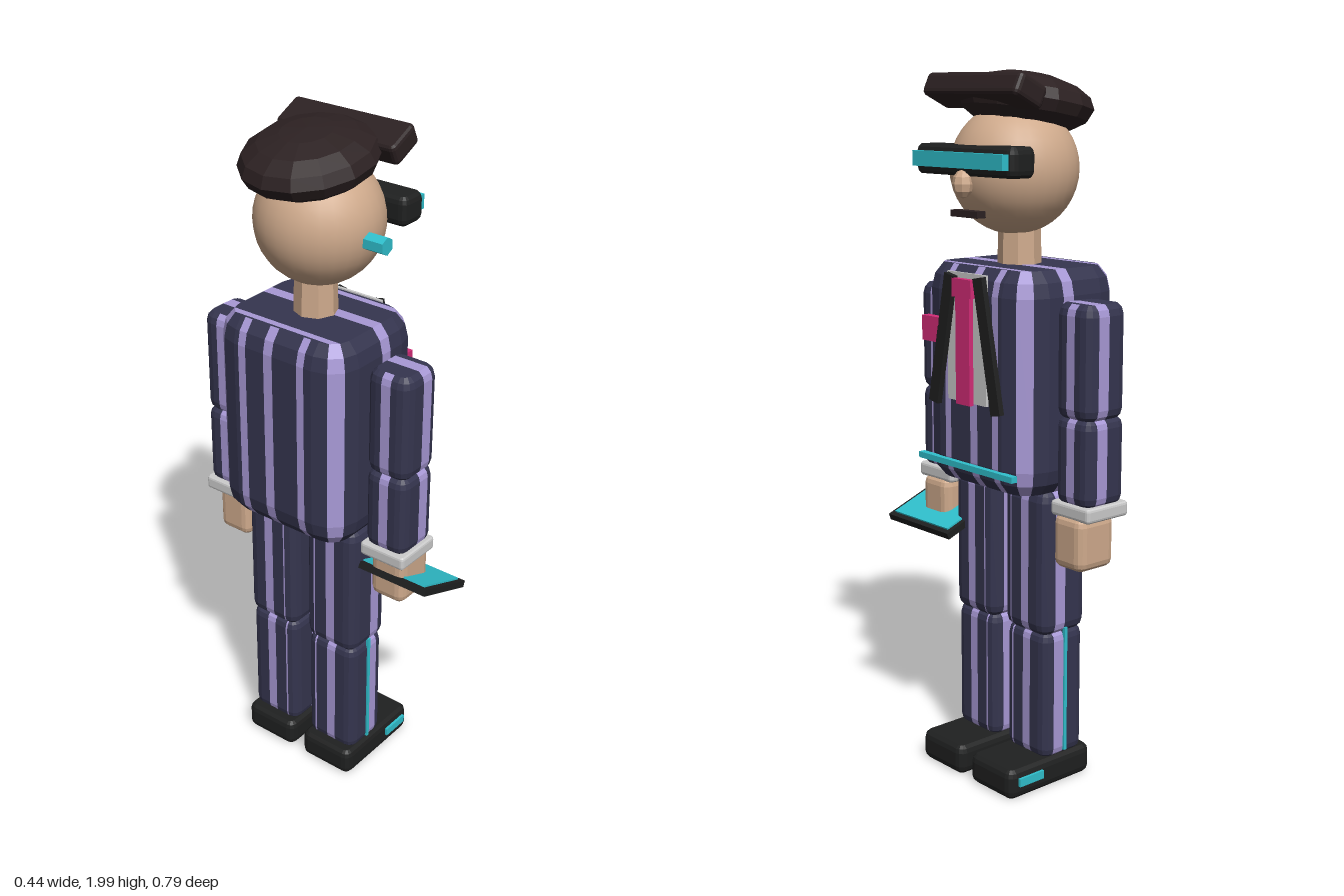
import * as THREE from 'three';

const mat = (name, color) => {
  const m = new THREE.MeshStandardMaterial({ color });
  m.name = name;
  return m;
};
const navy = mat('navy suit', 0x35354f), lilac = mat('lilac stripe', 0xa899d6);
const skin = mat('skin', 0xcfaa8c), black = mat('black', 0x1f2020);
const felt = mat('dark brown felt', 0x2c2122), teal = mat('teal', 0x30c0cd);
const pink = mat('pink', 0xd42c78), white = mat('pale grey', 0xcccccc);

const MID = -0.035; // body centre line in z
const PHI = Math.PI / 3;

// Rounded box lofted from rings; xs / zs list the stripe ranges on its sides and ends
function softBox([x0, x1], [y0, y1], [z0, z1], c, { cy = c * 0.87, phi = PHI, xs = [], zs = [] } = {}) {
  const cx = [x0 + c, x1 - c], cz = [z0 + c, z1 - c];
  const stops = (ranges, [lo, hi]) => ranges.flat().filter(v => v > lo && v < hi).sort((a, b) => a - b);
  const sx = stops(xs, cx), sz = stops(zs, cz);
  // each perimeter point: core position plus outward direction
  const per = [];
  const corner = (x, z, a0) => {
    for (let k = 0; k < 4; k++) {
      const a = a0 + k * Math.PI / 6;
      per.push([x, z, Math.cos(a), Math.sin(a)]);
    }
  };
  corner(cx[1], cz[1], 0);
  [...sx].reverse().forEach(x => per.push([x, cz[1], 0, 1]));
  corner(cx[0], cz[1], Math.PI / 2);
  const nA = per.length;
  [...sz].reverse().forEach(z => per.push([cx[0], z, -1, 0]));
  const sB = per.length;
  corner(cx[0], cz[0], Math.PI);
  sx.forEach(x => per.push([x, cz[0], 0, -1]));
  corner(cx[1], cz[0], 1.5 * Math.PI);
  sz.forEach(z => per.push([cx[1], z, 1, 0]));

  const ring = (y, t) => per.map(([x, z, dx, dz]) =>
    [x + dx * c * Math.cos(t * phi), y, z + dz * c * Math.cos(t * phi)]);
  const rise = t => cy * (1 - Math.sin(t * phi) / Math.sin(phi));
  const rings = [
    ...[1, 0.5, 0].map(t => ring(y0 + rise(t), t)),
    ...[0, 0.5, 1].map(t => ring(y1 - rise(t), t))];
  const plain = [], striped = [];
  const within = (ranges, v) => ranges.some(([a, b]) => v > a && v < b);
  const quad = (on, a, b, d, e) => (on ? striped : plain).push(...a, ...b, ...d, ...a, ...d, ...e);

  const n = per.length, base = rings[2];
  for (let i = 0; i < n; i++) {
    const j = (i + 1) % n;
    const long = i < nA - 1 || (i >= sB && i < sB + nA - 1);
    const on = long ? within(xs, (base[i][0] + base[j][0]) / 2) : within(zs, (base[i][2] + base[j][2]) / 2);
    for (let r = 0; r < rings.length - 1; r++)
      quad(on, rings[r][i], rings[r + 1][i], rings[r + 1][j], rings[r][j]);
  }
  // flat ends, built as strips across z
  for (let i = 0; i < nA - 1; i++) {
    const p = sB + nA - 1 - i, q = p - 1;
    const on = within(xs, (base[i][0] + base[i + 1][0]) / 2);
    const T = rings[5], B = rings[0];
    quad(on, T[i], T[p], T[q], T[i + 1]);
    quad(on, B[i], B[i + 1], B[q], B[p]);
  }
  const g = new THREE.BufferGeometry();
  g.setAttribute('position', new THREE.Float32BufferAttribute(plain.concat(striped), 3));
  g.addGroup(0, plain.length / 3, 0);
  g.addGroup(plain.length / 3, striped.length / 3, 1);
  g.computeVertexNormals();
  return g;
}

const flat = geo => {
  const g = geo.toNonIndexed();
  g.computeVertexNormals();
  return g;
};

export function createModel() {
  const root = new THREE.Group();
  root.name = 'suitedFigure';
  const add = (name, geo, material, x = 0, y = 0, z = 0) => {
    const m = new THREE.Mesh(geo, material);
    m.name = name;
    m.position.set(x, y, z);
    root.add(m);
    return m;
  };
  const suit = (name, x, y, z, c, opt) => add(name, softBox(x, y, z, c, opt), [navy, lilac]);
  const soft = (name, x, y, z, c, m) => add(name, softBox(x, y, z, c), [m, m]);
  const plate = (name, [x0, x1], [y0, y1], [z0, z1], m) =>
    add(name, new THREE.BoxGeometry(x1 - x0, y1 - y0, z1 - z0), m, (x0 + x1) / 2, (y0 + y1) / 2, (z0 + z1) / 2);
  const band = (v, w = 0.03) => [v - w / 2, v + w / 2];
  const seam = [-0.005, 0.032];

  // Jacket
  suit('jacket', [-0.195, 0.172], [0.87, 1.48], [MID - 0.222, MID + 0.222], 0.09, {
    cy: 0.07, phi: 0.9,
    xs: [[-0.18, -0.15], seam, [0.13, 0.155]],
    zs: [band(0.06, 0.024), band(-0.05), band(-0.14, 0.025), band(0.145, 0.03)],
  });

  // Limbs, mirrored about the body centre line
  for (const s of [1, -1]) {
    const side = s > 0 ? 'right' : 'left';
    const span = (a, b) => s > 0 ? [MID + a, MID + b] : [MID - b, MID - a];
    const at = v => MID + s * v;
    const armStripe = { xs: [seam], zs: [band(at(0.288))] };
    const legStripe = { xs: [seam], zs: [band(at(0.115)), band(at(0.05), 0.02)] };
    suit(side + 'UpperArm', [-0.078, 0.068], [1.09, 1.4], span(0.22, 0.358), 0.035, armStripe);
    suit(side + 'Forearm', [-0.078, 0.066], [0.855, 1.095], span(0.222, 0.356), 0.03, armStripe);
    soft(side + 'Cuff', [-0.084, 0.07], [0.82, 0.86], span(0.214, 0.362), 0.01, white);
    soft(side + 'Hand', [-0.055, 0.077], [0.68, 0.825], span(0.228, 0.342), 0.025, skin);
    suit(side + 'Thigh', [-0.092, 0.073], [0.455, 0.87], span(0.02, 0.198), 0.035, legStripe);
    suit(side + 'Shin', [-0.086, 0.066], [0.085, 0.46], span(0.024, 0.194), 0.03, legStripe);
    soft(side + 'Shoe', [-0.112, 0.2], [0.005, 0.09], span(0.018, 0.2), 0.025, black);
    plate(side + 'TrouserPiping', [-0.014, -0.004], [0.1, 0.47], span(0.19, 0.199), teal);
    plate(side + 'ShoeLight', [0.08, 0.17], [0.043, 0.067], span(0.199, 0.208), teal);
  }

  // Shirt, tie, lapels, pocket square and belt
  plate('shirtFront', [0.172, 0.18], [1.11, 1.465], [-0.112, 0.05], white);
  plate('tie', [0.18, 0.194], [1.105, 1.445], [-0.059, -0.001], pink);
  plate('tieKnot', [0.18, 0.198], [1.4, 1.45], [-0.07, 0.01], pink);
  for (const s of [1, -1]) {
    const lapel = add('lapel', new THREE.BoxGeometry(0.016, 0.37, 0.038), black, 0.188, 1.277, MID + s * 0.096);
    lapel.rotation.x = -s * 0.2;
  }
  plate('pocketSquare', [0.172, 0.196], [1.265, 1.335], [0.07, 0.143], pink);
  plate('belt', [0.168, 0.188], [0.92, 0.937], [-0.225, 0.175], teal);

  // Neck and head
  add('neck', flat(new THREE.CylinderGeometry(0.058, 0.062, 0.14, 8)), skin, -0.008, 1.52, MID);
  add('head', new THREE.SphereGeometry(0.177, 28, 20), skin, 0.01, 1.737, MID);
  add('nose', flat(new THREE.SphereGeometry(1, 8, 6)), skin, 0.192, 1.702, MID).scale.set(0.029, 0.038, 0.03);
  plate('mouth', [0.16, 0.19], [1.614, 1.632], [-0.09, 0.02], felt);

  // Visor and earpiece
  soft('visor', [0.108, 0.197], [1.723, 1.803], [MID - 0.202, MID + 0.202], 0.022, black);
  plate('visorLight', [0.194, 0.216], [1.744, 1.785], [-0.221, 0.151], teal);
  const ear = add('earpiece', flat(new THREE.CylinderGeometry(0.025, 0.025, 0.08, 6)), teal, -0.008, 1.72, 0.158);
  ear.rotation.x = Math.PI / 2;

  // Cap and peak
  const cap = add('cap', flat(new THREE.SphereGeometry(1, 14, 8)), felt, -0.03, 1.912, MID);
  cap.scale.set(0.195, 0.08, 0.183);
  cap.rotation.z = 0.17;
  const peak = add('capPeak', softBox([-0.052, 0.052], [-0.031, 0.031], [-0.194, 0.194], 0.015), [felt, felt], 0.12, 1.943, MID);
  peak.rotation.z = 0.45;

  // Tablet held in the right hand
  const tablet = new THREE.Group();
  tablet.name = 'tablet';
  tablet.position.set(0.038, 0.725, 0.25);
  tablet.rotation.z = -0.37;
  root.add(tablet);
  const shell = new THREE.Mesh(new THREE.BoxGeometry(0.213, 0.02, 0.28), black);
  shell.name = 'tabletBody';
  const screen = new THREE.Mesh(new THREE.BoxGeometry(0.182, 0.006, 0.25), teal);
  screen.name = 'tabletScreen';
  screen.position.y = 0.012;
  tablet.add(shell, screen);

  return root;
}
